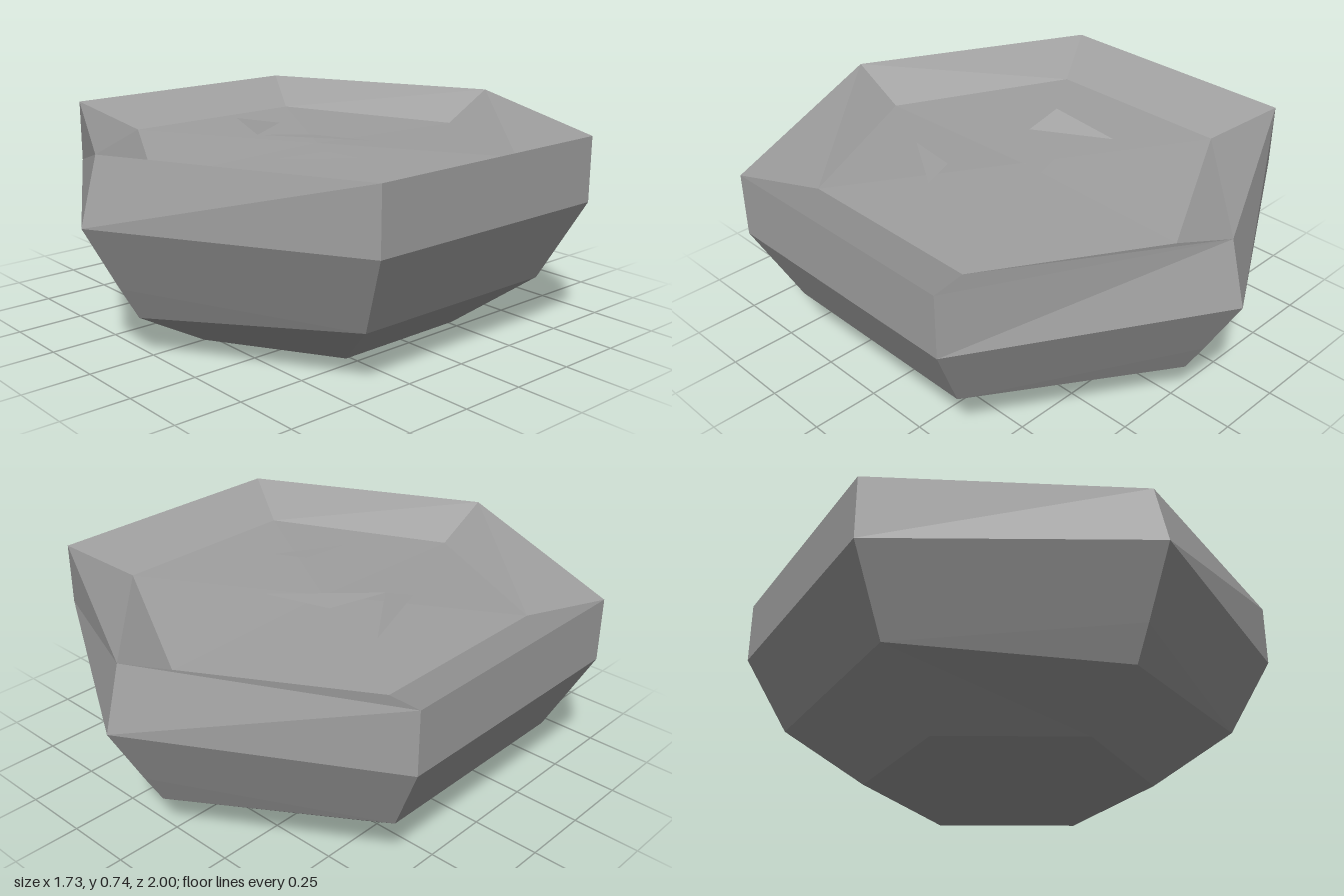
import * as THREE from 'three';

// Six-sided ring, starting at the front and running toward +x.
// (x, y, z) is the side corner, (endY, endZ) the front and back points.
function ring(x, y, z, endY, endZ) {
  return [
    [0, endY, endZ], [x, y, z], [x, y, -z],
    [0, endY, -endZ], [-x, y, -z], [-x, y, z],
  ].map((p) => new THREE.Vector3(...p));
}

// Skin between two rings; rising(k) picks the diagonal of panel k.
function band(a, b, rising) {
  const tris = [];
  for (let k = 0; k < 6; k++) {
    const n = (k + 1) % 6;
    if (rising(k)) tris.push([a[k], a[n], b[n]], [a[k], b[n], b[k]]);
    else tris.push([a[k], a[n], b[k]], [a[n], b[n], b[k]]);
  }
  return tris;
}

// Closing fan over a ring
function cap(r, y, up) {
  const c = new THREE.Vector3(0, y, 0);
  return r.map((p, k) => (up ? [c, p, r[(k + 1) % 6]] : [c, r[(k + 1) % 6], p]));
}

function facetMesh(name, tris, material) {
  const solid = tris.filter((t) => new THREE.Triangle(...t).getArea() > 1e-5);
  const geometry = new THREE.BufferGeometry().setFromPoints(solid.flat());
  geometry.computeVertexNormals();
  const mesh = new THREE.Mesh(geometry, material);
  mesh.name = name;
  return mesh;
}

export function createModel() {
  const group = new THREE.Group();
  group.name = 'stoneBasin';
  const stone = new THREE.MeshStandardMaterial({ color: 0xa0a0a0, flatShading: true });
  stone.name = 'grey stone';
  stone.side = THREE.DoubleSide;

  const base = ring(0.46, 0, 0.265, 0, 0.535);
  const belly = ring(0.72, 0.21, 0.42, 0.15, 0.8);
  const waist = ring(0.72, 0.21, 0.42, 0.27, 0.87);
  const shoulder = ring(0.865, 0.505, 0.5, 0.505, 1);
  const rim = ring(0.865, 0.74, 0.5, 0.74, 0.935);
  const floor = ring(0.64, 0.645, 0.375, 0.625, 0.72);

  // Outer shell, from the ground up
  group.add(facetMesh('underside', cap(base, 0, false), stone));
  group.add(facetMesh('lowerFacets', band(base, belly, () => false), stone));
  group.add(facetMesh('waistFacets', band(belly, waist, (k) => k % 3 === 0), stone));
  group.add(facetMesh('sideFacets', band(waist, shoulder, () => true), stone));
  group.add(facetMesh('upperFacets', band(shoulder, rim, () => true), stone));

  // Recessed top
  group.add(facetMesh('innerWall', band(rim, floor, (k) => k % 3 === 0), stone));
  group.add(facetMesh('recessFloor', cap(floor, 0.644, true), stone));

  // Thin splinters lifting off the floor
  const splinters = [
    [[-0.37, 0.648, -0.12], [-0.32, 0.707, 0.13], [-0.18, 0.665, 0.14]],
    [[-0.18, 0.665, 0.14], [0.15, 0.654, -0.155], [-0.1, 0.65, -0.07]],
    [[0.23, 0.673, 0.15], [0.205, 0.674, 0.35], [0.36, 0.664, 0.105]],
  ];
  splinters.forEach((points, i) => {
    const tri = points.map((p) => new THREE.Vector3(...p));
    group.add(facetMesh(`splinter${i + 1}`, [tri], stone));
  });

  return group;
}
